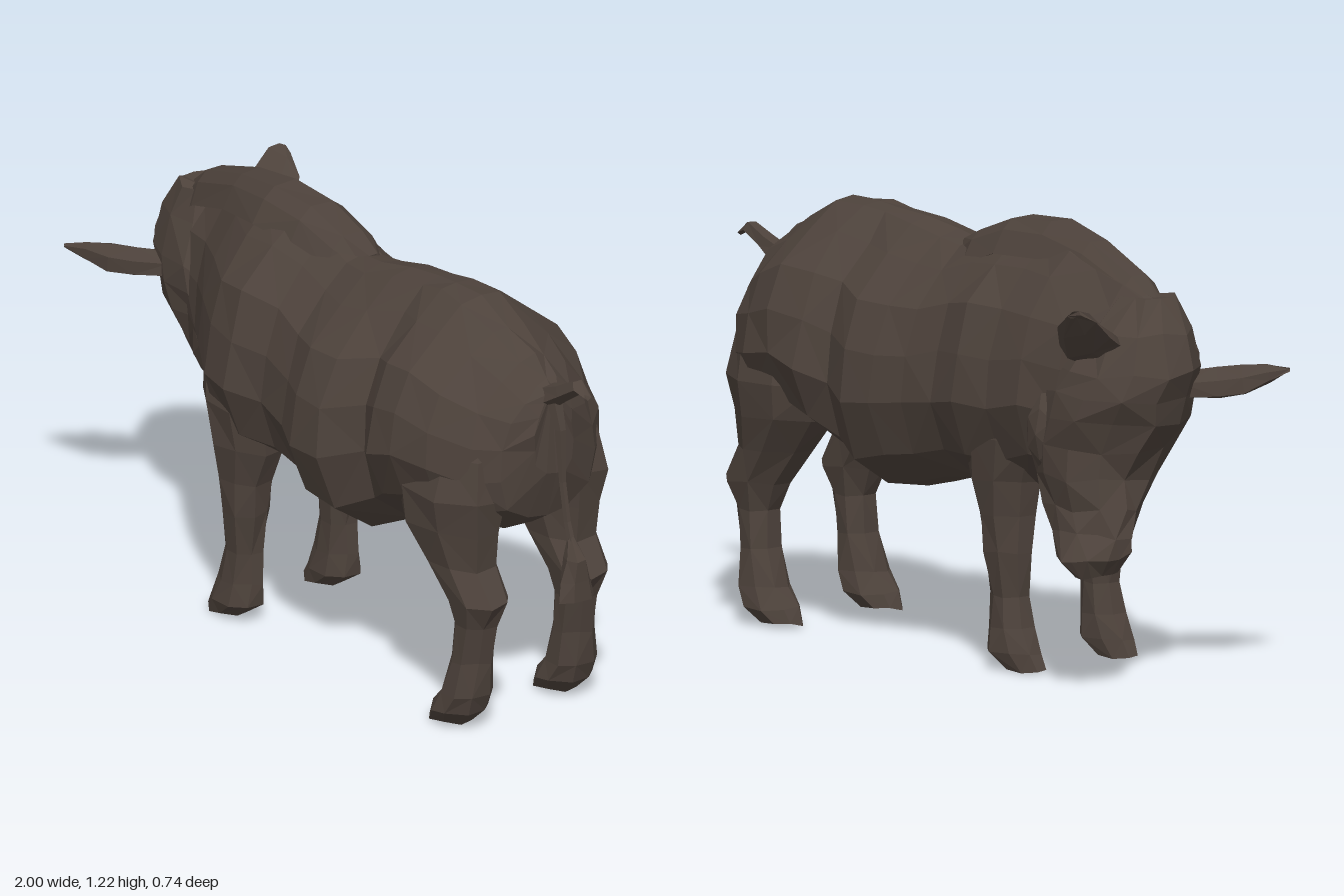
import * as THREE from 'three';

const V = (x, y, z) => new THREE.Vector3(x, y, z);
const hide = new THREE.MeshStandardMaterial({ color: 0x4d423b, flatShading: true });
hide.name = 'dark brown hide';

// Small repeatable roughness that gives irregular facets.
const rough = (i, s) => {
  const k = Math.sin(i * 12.9898 + s * 78.233) * 43758.5453;
  return (k - Math.floor(k)) * 2 - 1;
};

// Closed skin through rings of equal point count, turned outwards by its volume.
function loft(name, rings, jitter = 0) {
  const n = rings[0].length, pts = [], idx = [];
  rings.forEach((r, s) => r.forEach((p, i) => pts.push(V(
    p.x + jitter * rough(i + s * n, 1), p.y + jitter * rough(i + s * n, 2), p.z + jitter * rough(i + s * n, 3)))));
  for (let s = 0; s < rings.length - 1; s++) {
    for (let i = 0; i < n; i++) {
      const a = s * n + i, b = s * n + (i + 1) % n, c = a + n, d = b + n;
      if ((s + i) % 2) idx.push(a, b, c, b, d, c);
      else idx.push(a, b, d, a, d, c);
    }
  }
  const last = (rings.length - 1) * n;
  for (let i = 1; i < n - 1; i++) idx.push(0, i + 1, i, last, last + i, last + i + 1);
  let volume = 0;
  for (let t = 0; t < idx.length; t += 3) {
    volume += pts[idx[t]].dot(pts[idx[t + 1]].clone().cross(pts[idx[t + 2]]));
  }
  if (volume < 0) idx.reverse();
  const indexed = new THREE.BufferGeometry().setFromPoints(pts);
  indexed.setIndex(idx);
  const geo = indexed.toNonIndexed();
  geo.computeVertexNormals();
  const mesh = new THREE.Mesh(geo, hide);
  mesh.name = name;
  return mesh;
}

// Elliptical ring around c with half axes u and v.
const ring = (c, u, v, n) => Array.from({ length: n }, (_, i) => {
  const a = (i + 0.5) / n * Math.PI * 2;
  return c.clone().addScaledVector(u, Math.cos(a)).addScaledVector(v, Math.sin(a));
});

// Level ring given by its limits: [y, x0, x1, z0, z1].
const level = n => ([y, x0, x1, z0, z1]) =>
  ring(V((x0 + x1) / 2, y, (z0 + z1) / 2), V((x1 - x0) / 2, 0, 0), V(0, 0, (z1 - z0) / 2), n);

// Half outline of the trunk, as [width, height] from spine to belly.
const HALF = [[0, 1], [0.2, 0.98], [0.46, 0.885], [0.79, 0.735], [0.94, 0.55], [1, 0.35], [0.83, 0.14], [0.42, 0.02], [0, 0]];
const OUTLINE = [...HALF, ...HALF.slice(1, -1).reverse().map(([w, h]) => [-w, h])];

function buildBody() {
  // [x, bottom, top, z0, z1]
  const sections = [
    [-0.85, 0.82, 0.99, -0.13, 0.04], [-0.79, 0.7, 1.06, -0.19, 0.06], [-0.69, 0.57, 1.105, -0.22, 0.08],
    [-0.58, 0.52, 1.14, -0.24, 0.12], [-0.45, 0.53, 1.165, -0.27, 0.21], [-0.32, 0.48, 1.18, -0.265, 0.3],
    [-0.2, 0.485, 1.18, -0.28, 0.33], [-0.09, 0.48, 1.16, -0.25, 0.29], [0.03, 0.465, 1.125, -0.265, 0.31],
    [0.13, 0.44, 1.13, -0.285, 0.36], [0.24, 0.415, 1.15, -0.295, 0.365], [0.35, 0.46, 1.165, -0.235, 0.29],
    [0.43, 0.52, 1.175, -0.285, 0.345], [0.54, 0.56, 1.17, -0.295, 0.355], [0.65, 0.57, 1.115, -0.27, 0.325],
    [0.75, 0.57, 1.06, -0.215, 0.265], [0.815, 0.61, 1.01, -0.14, 0.195], [0.85, 0.74, 0.98, -0.04, 0.1],
  ];
  return loft('body', sections.map(([x, lo, hi, z0, z1]) => OUTLINE.map(([w, h]) =>
    V(x, lo + (hi - lo) * h, (z0 + z1) / 2 + w * (z1 - z0) / 2))), 0.007);
}

function buildMane() {
  // [x, top, centre z, half width]
  const sections = [
    [-0.83, 1.02, -0.05, 0.03], [-0.7, 1.12, -0.045, 0.055], [-0.5, 1.185, -0.01, 0.065],
    [-0.32, 1.215, 0.02, 0.075], [-0.16, 1.205, 0.02, 0.075], [-0.03, 1.16, 0.015, 0.07], [0.05, 1.12, 0.01, 0.035],
  ];
  return loft('mane', sections.map(([x, y, z, w]) => [
    V(x, y, z - w * 0.5), V(x, y, z + w * 0.5), V(x, y - 0.028, z + w), V(x, y - 0.09, z + w * 1.5),
    V(x, y - 0.09, z - w * 1.5), V(x, y - 0.028, z - w)]), 0.003);
}

function buildHead() {
  const head = new THREE.Group();
  head.name = 'head';
  head.add(loft('skull', [
    [1.07, -0.81, -0.64, -0.11, 0.02], [0.98, -0.885, -0.57, -0.2, 0.06], [0.88, -0.915, -0.51, -0.265, 0.095],
    [0.81, -0.895, -0.47, -0.285, 0.105], [0.74, -0.87, -0.44, -0.295, 0.1], [0.66, -0.825, -0.42, -0.295, 0.07],
    [0.58, -0.8, -0.44, -0.285, 0.02], [0.5, -0.805, -0.5, -0.28, -0.05], [0.43, -0.81, -0.56, -0.295, -0.1],
    [0.375, -0.815, -0.63, -0.335, -0.13], [0.325, -0.785, -0.67, -0.305, -0.17],
  ].map(level(12)), 0.011));

  // Jowls behind the jaw
  for (const [side, z] of [['left', 0.03], ['right', -0.19]]) {
    const jowl = new THREE.Mesh(new THREE.IcosahedronGeometry(0.1, 1), hide);
    jowl.name = side + 'Jowl';
    jowl.scale.set(1, 1.35, 1);
    jowl.position.set(-0.55, 0.69, z);
    head.add(jowl);
  }

  // Fleshy leaf-shaped ears; the head is tilted so the right one sits higher
  const ear = (name, path, u, v) => loft(name, path.map(([x, y, z, s]) =>
    ring(V(x, y, z), u.clone().multiplyScalar(s), v.clone().multiplyScalar(s), 6)), 0.003);
  head.add(ear('leftEar', [[-0.8, 0.825, 0.03, 0.9], [-0.86, 0.83, 0.1, 1], [-0.91, 0.838, 0.15, 1], [-0.96, 0.857, 0.195, 0.55], [-1, 0.867, 0.235, 0.08]],
    V(0.055, 0.008, 0.052), V(0.004, 0.042, 0)));
  head.add(ear('rightEar', [[-0.71, 0.92, -0.16, 0.8], [-0.725, 0.945, -0.23, 1], [-0.74, 0.97, -0.28, 1.05], [-0.765, 1.025, -0.33, 0.78], [-0.79, 1.06, -0.363, 0.25]],
    V(0.085, -0.04, -0.01), V(0.008, 0.033, -0.02)));
  return head;
}

// Legs are stacked level rings: [y, x0, x1, inner width, outer width] about centre z.
function buildLeg(name, z, out, sections) {
  return loft(name, sections.map(([y, x0, x1, inner, outer]) => {
    const a = z - out * inner, b = z + out * outer;
    return level(8)([y, x0, x1, Math.min(a, b), Math.max(a, b)]);
  }), 0.006);
}

const FRONT = [
  [0.86, -0.38, -0.2, 0.06, 0.04], [0.75, -0.42, -0.16, 0.09, 0.09], [0.64, -0.425, -0.13, 0.1, 0.11],
  [0.52, -0.375, -0.145, 0.09, 0.095], [0.42, -0.355, -0.185, 0.07, 0.08], [0.32, -0.35, -0.2, 0.06, 0.07],
  [0.2, -0.34, -0.22, 0.05, 0.055], [0.11, -0.36, -0.215, 0.05, 0.06], [0.045, -0.395, -0.215, 0.055, 0.07],
  [0, -0.415, -0.28, 0.04, 0.05],
];
const REAR = [
  [0.92, 0.52, 0.72, 0.08, 0.03], [0.8, 0.45, 0.79, 0.11, 0.09], [0.68, 0.42, 0.81, 0.12, 0.125],
  [0.58, 0.45, 0.79, 0.11, 0.11], [0.48, 0.54, 0.78, 0.09, 0.085], [0.385, 0.62, 0.835, 0.08, 0.075],
  [0.31, 0.66, 0.79, 0.065, 0.06], [0.2, 0.655, 0.77, 0.06, 0.06], [0.1, 0.62, 0.765, 0.065, 0.075],
  [0.045, 0.58, 0.745, 0.07, 0.08], [0.005, 0.555, 0.7, 0.05, 0.06],
];

function buildTail() {
  const tail = new THREE.Group();
  tail.name = 'tail';
  // Raised stub with a bent tip
  tail.add(loft('tailStub', [[0.82, 0.96, 0.04], [0.89, 0.995, 0.028], [0.955, 1.03, 0.022], [0.99, 1.01, 0.01]].map(([x, y, r]) =>
    ring(V(x, y, 0.03), V(-r * 0.5, r * 0.8, 0), V(0, 0, r), 5)), 0.003));
  // Thin hanging cord
  tail.add(loft('tailCord', [[0.845, 0.97, 0.024], [0.875, 0.88, 0.016], [0.885, 0.73, 0.01], [0.905, 0.62, 0.01], [0.93, 0.54, 0.012]].map(([x, y, r]) =>
    ring(V(x, y, 0.03), V(r, 0, 0), V(0, 0, r), 5))));
  // Flared tuft
  tail.add(loft('tailTuft', [[0.58, 0.92, 0.01, 0.01], [0.52, 0.938, 0.034, 0.03], [0.46, 0.936, 0.038, 0.05], [0.405, 0.945, 0.028, 0.065]].map(([y, x, a, b]) =>
    ring(V(x, y, 0.03), V(a, 0, 0), V(0, 0, b), 6)), 0.003));
  return tail;
}

export function createModel() {
  const boar = new THREE.Group();
  boar.name = 'boar';
  boar.add(buildBody(), buildMane(), buildHead(), buildTail());
  boar.add(
    buildLeg('leftFrontLeg', 0.19, 1, FRONT), buildLeg('rightFrontLeg', -0.135, -1, FRONT),
    buildLeg('leftRearLeg', 0.205, 1, REAR), buildLeg('rightRearLeg', -0.15, -1, REAR));
  return boar;
}
